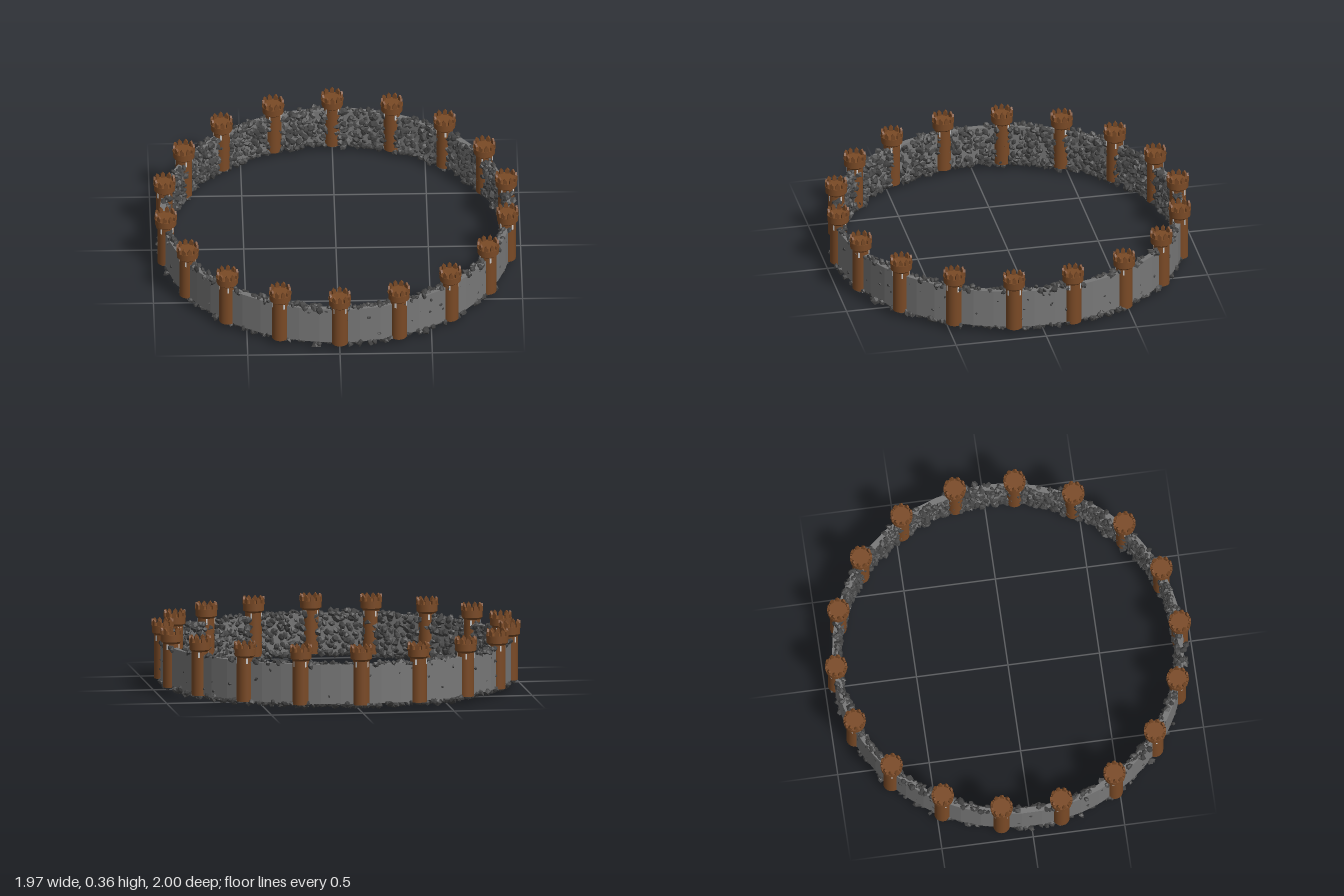
import * as THREE from 'three';
import { mergeGeometries } from 'three/addons/utils/BufferGeometryUtils.js';

const TOWERS = 18, RING = 0.94;

// small seeded generator for the rubble
let seed = 7;
function rand(a = 0, b = 1) {
  seed = (seed * 16807) % 2147483647;
  return a + (b - a) * (seed / 2147483647);
}

// irregular stone: an icosahedron pushed about by a rule of position
function rockTemplate(k) {
  const g = new THREE.IcosahedronGeometry(1, 0);
  g.deleteAttribute('uv');
  const p = g.attributes.position;
  const v = new THREE.Vector3();
  for (let i = 0; i < p.count; i++) {
    v.fromBufferAttribute(p, i);
    const s = 1 + 0.25 * Math.sin(v.x * 5.1 + v.y * 3.7 + v.z * 4.3 + k * 2);
    p.setXYZ(i, v.x * s, v.y * s, v.z * s);
  }
  return g;
}

function createRubble(material) {
  const templates = [0, 1, 2, 3, 4].map(rockTemplate);
  const stones = [];
  const matrix = new THREE.Matrix4(), turn = new THREE.Quaternion();
  const add = (angle, r, y, size) => {
    turn.setFromEuler(new THREE.Euler(rand(0, 6.28), rand(0, 6.28), rand(0, 6.28)));
    matrix.compose(
      new THREE.Vector3(Math.sin(angle) * r, y, Math.cos(angle) * r), turn,
      new THREE.Vector3(size * rand(0.8, 1.15), size * rand(0.6, 0.9), size * rand(0.7, 1.1)));
    stones.push(templates[stones.length % 5].clone().applyMatrix4(matrix));
  };
  const full = Math.PI * 2;
  // inner face
  for (let row = 0; row < 9; row++)
    for (let i = 0; i < 150; i++)
      add((i + rand(-0.4, 0.4) + (row % 2) / 2) / 150 * full, rand(0.913, 0.928),
        0.05 + row * 0.025 + rand(-0.01, 0.01), rand(0.016, 0.026));
  // along the foot and along the top, in uneven clumps
  for (let i = 0; i < 380; i++)
    add(i / 380 * full, rand(0.91, 0.957), rand(0.03, 0.048), rand(0.014, 0.025));
  for (let i = 0; i < 300; i++) {
    const a = i / 300 * full;
    if (Math.sin(a * 13) + Math.sin(a * 29 + 1) > -0.9)
      add(a, rand(0.915, 0.955), rand(0.252, 0.27), rand(0.012, 0.022));
  }
  // few stones breaking through the outer face
  for (let i = 0; i < 70; i++)
    add(rand(0, full), 0.947, rand(0.07, 0.25), rand(0.009, 0.014));
  // loose stones sticking out
  for (let i = 0; i < 40; i++)
    add(rand(0, full), rand(0.955, 0.966), rand(0, 1) < 0.5 ? 0.04 : 0.262, rand(0.015, 0.023));
  const mesh = new THREE.Mesh(mergeGeometries(stones), material);
  mesh.name = 'rubble';
  return mesh;
}

function createTower(brown, pale) {
  const tower = new THREE.Group();
  const add = (name, geometry, material, x, y, z, ry = 0) => {
    const m = new THREE.Mesh(geometry, material);
    m.name = name;
    m.position.set(x, y, z);
    m.rotation.y = ry;
    tower.add(m);
  };
  add('shaft', new THREE.CylinderGeometry(0.045, 0.045, 0.25, 24), brown, 0, 0.165, 0);
  add('corbel', new THREE.CylinderGeometry(0.058, 0.045, 0.012, 24), brown, 0, 0.286, 0);
  add('collar', new THREE.CylinderGeometry(0.058, 0.058, 0.036, 24), brown, 0, 0.31, 0);
  add('collarRim', new THREE.CylinderGeometry(0.061, 0.061, 0.008, 24), brown, 0, 0.328, 0);

  // pointed merlons
  const s = new THREE.Shape();
  s.moveTo(-0.011, 0);
  s.lineTo(0.011, 0);
  s.lineTo(0.011, 0.022);
  s.lineTo(0, 0.036);
  s.lineTo(-0.011, 0.022);
  const merlon = new THREE.ExtrudeGeometry(s, { depth: 0.011, bevelEnabled: false });
  merlon.translate(0, 0, 0.048);
  for (let i = 0; i < 10; i++)
    add('merlon', merlon, brown, 0, 0.33, 0, i / 10 * Math.PI * 2);

  // window slits
  const slit = new THREE.BoxGeometry(0.009, 0.03, 0.006);
  for (let i = 0; i < 4; i++) {
    const a = Math.PI / 4 + i * Math.PI / 2;
    add('window', slit, pale, Math.sin(a) * 0.0435, 0.255 + 0.008, Math.cos(a) * 0.0435, a);
  }
  return tower;
}

export function createModel() {
  const brown = new THREE.MeshStandardMaterial({ color: 0x7a4a26 });
  const pale = new THREE.MeshStandardMaterial({ color: 0xcccccc });
  const stone = new THREE.MeshStandardMaterial({ color: 0x777777, flatShading: true, side: THREE.DoubleSide });
  const dark = new THREE.MeshStandardMaterial({ color: 0x454545, flatShading: true });

  const model = new THREE.Group();
  model.name = 'ringWall';

  // faceted curtain wall
  const profile = [[0.922, 0.045], [0.953, 0.045], [0.953, 0.26], [0.922, 0.26], [0.922, 0.045]]
    .map(([r, y]) => new THREE.Vector2(r, y));
  const wall = new THREE.Mesh(new THREE.LatheGeometry(profile, TOWERS * 3), stone);
  wall.name = 'wall';
  model.add(wall, createRubble(dark));

  // towers around the ring
  const first = createTower(brown, pale);
  for (let i = 0; i < TOWERS; i++) {
    const a = i / TOWERS * Math.PI * 2;
    const t = first.clone();
    t.name = 'tower';
    t.position.set(Math.sin(a) * RING, 0, Math.cos(a) * RING);
    t.rotation.y = a;
    model.add(t);
  }
  return model;
}
